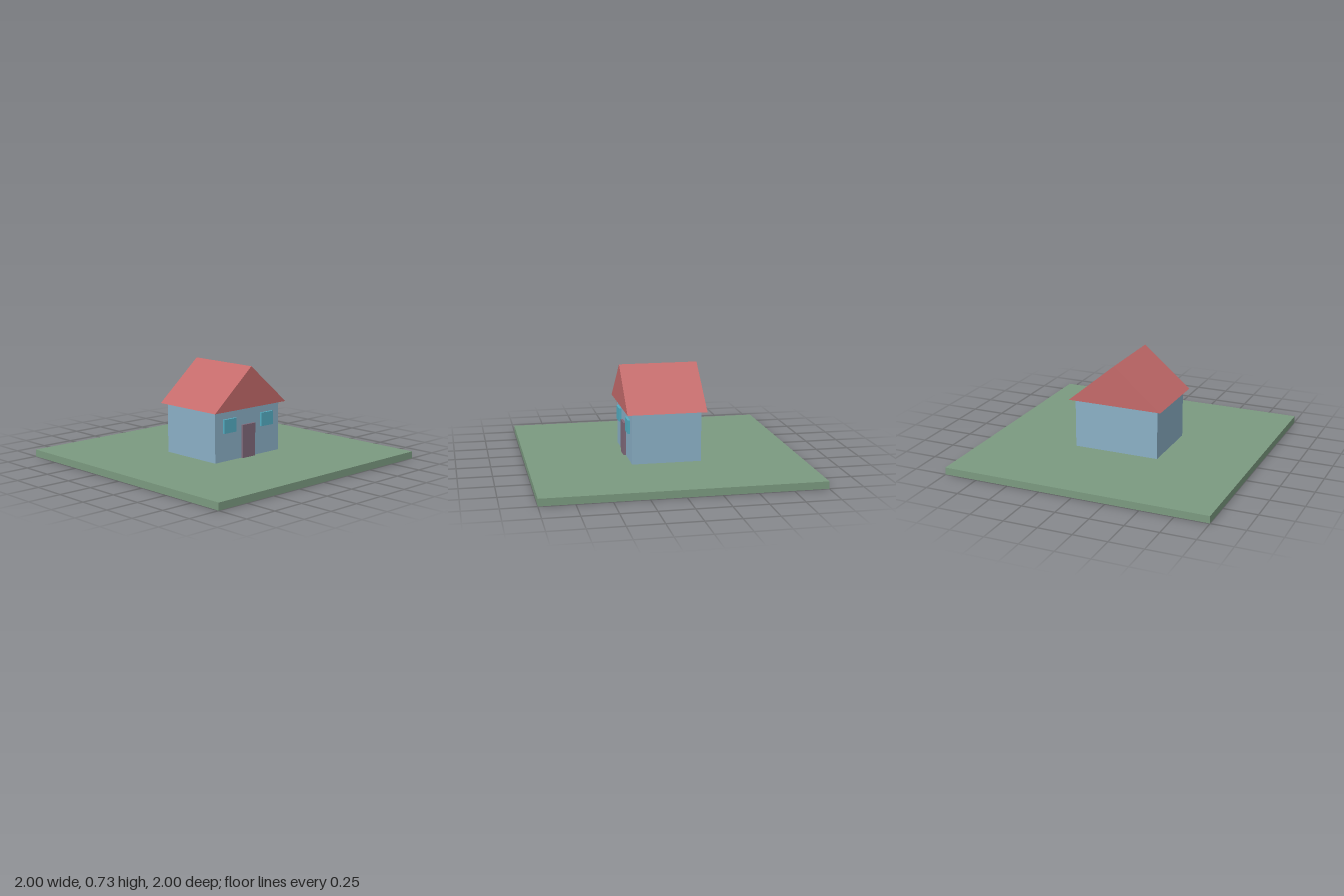
import * as THREE from 'three';

const material = (name, color) => {
  const m = new THREE.MeshStandardMaterial({ color });
  m.name = name;
  return m;
};

export function createModel() {
  const house = new THREE.Group();
  house.name = 'house';

  const grass = material('grass green', 0x7b9a80);
  const wall = material('wall blue', 0x8bb0c6);
  const tile = material('roof red', 0xc46a6a);
  const glass = material('window teal', 0x54adc2);
  const wood = material('door plum', 0x80697a);

  const add = (name, geometry, mat, x, y, z) => {
    const mesh = new THREE.Mesh(geometry, mat);
    mesh.name = name;
    mesh.position.set(x, y, z);
    house.add(mesh);
  };
  // Box standing on the given bottom height
  const box = (name, w, h, d, mat, x, bottom, z) =>
    add(name, new THREE.BoxGeometry(w, h, d), mat, x, bottom + h / 2, z);

  const ground = 0.053, eaves = 0.424, front = 0.255;

  // Lawn slab and walls
  box('lawn', 2, ground, 2, grass, 0, 0, 0);
  box('walls', 0.65, eaves - ground, front * 2, wall, 0, ground, 0);

  // Gabled roof: a triangular prism overhanging the walls
  const gable = new THREE.Shape();
  gable.moveTo(-0.362, 0);
  gable.lineTo(0.362, 0);
  gable.lineTo(0, 0.304);
  gable.closePath();
  const depth = 0.584;
  add('roof', new THREE.ExtrudeGeometry(gable, { depth, bevelEnabled: false }),
    tile, 0, eaves, -depth / 2);

  // Door and windows stand slightly proud of the front wall
  const proud = 0.018;
  box('door', 0.126, 0.247, proud, wood, 0, ground, front + proud / 2);
  for (const side of [-1, 1]) {
    box(side > 0 ? 'leftWindow' : 'rightWindow', 0.12, 0.102, proud, glass,
      side * 0.19, 0.262, front + proud / 2);
  }

  return house;
}
